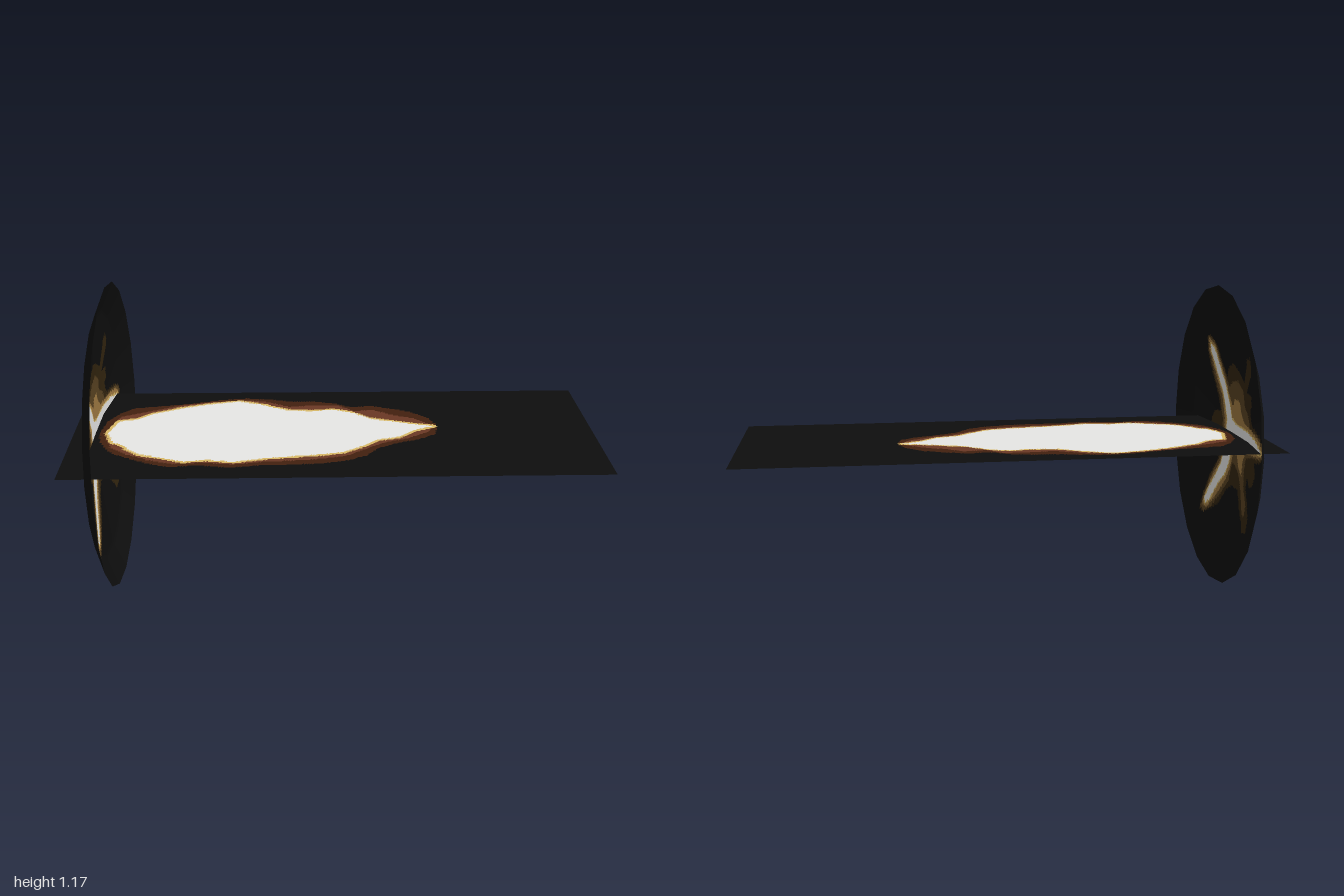
import * as THREE from 'three';

const mat = (name, color) => Object.assign(new THREE.MeshStandardMaterial({ color, side: THREE.DoubleSide }), { name });
const charcoal = mat('charcoal black', 0x0e0e0e);
const umber = mat('dark umber', 0x33250f);
const brown = mat('olive brown', 0x5a4322);
const tan = mat('tan', 0xa07a42);
const scorched = mat('scorched brown', 0x42200f);
const rust = mat('rust', 0x6a3824);
const gold = mat('pale gold', 0xd8b866);
const white = mat('hot white', 0xeeeeec);

// Flame outlines on the sheet, as x, z pairs
const flameOuter = [-.84, -.21, -.8, -.255, -.67, -.28, -.56, -.305, -.45, -.34, -.35, -.355, -.26, -.34, -.16, -.315,
  -.08, -.315, 0, -.295, .08, -.25, .16, -.26, .24, -.23, .32, -.19, .38, -.12, .405, -.05, .39, .03, .32, .08,
  .24, .11, .16, .16, .11, .23, .03, .27, -.05, .29, -.16, .3, -.26, .3, -.39, .32, -.5, .3, -.61, .31,
  -.69, .28, -.77, .23, -.84, .18, -.89, .08, -.9, 0, -.89, -.12];
const flameMiddle = [-.84, -.17, -.75, -.21, -.62, -.28, -.5, -.315, -.38, -.335, -.28, -.32, -.17, -.26, -.08, -.27,
  .02, -.27, .09, -.21, .16, -.22, .23, -.17, .31, -.13, .37, -.08, .4, -.05, .36, .01, .28, .07, .2, .1,
  .13, .15, .05, .22, -.05, .25, -.16, .265, -.26, .27, -.38, .295, -.5, .275, -.6, .285, -.69, .25,
  -.77, .2, -.84, .14, -.885, 0];
const flameCore = [-.84, -.12, -.77, -.14, -.72, -.19, -.61, -.25, -.5, -.29, -.38, -.32, -.3, -.29, -.18, -.22,
  -.08, -.21, 0, -.225, .08, -.19, .14, -.13, .22, -.1, .32, -.065, .39, -.05, .32, -.015, .24, .055, .16, .08,
  .11, .13, .03, .19, -.05, .21, -.16, .225, -.26, .24, -.38, .27, -.48, .25, -.56, .265, -.64, .23,
  -.72, .2, -.77, .16, -.8, .11, -.84, .085, -.87, 0];

// Star burst outlines on the dish, as z, y pairs
const starHaze = [.285, .94, .25, .95, .175, .916, .12, .847, .076, .8, .05, .84, -.01, .863, -.09, .84, -.15, .81,
  -.19, .863, -.205, .9, -.245, .915, -.267, .885, -.255, .84, -.215, .81, -.18, .77, -.245, .775, -.26, .73,
  -.23, .707, -.255, .66, -.385, .642, -.455, .615, -.46, .58, -.415, .55, -.32, .53, -.34, .49, -.315, .442,
  -.265, .424, -.22, .455, -.215, .41, -.26, .365, -.29, .31, -.28, .255, -.23, .24, -.2, .28, -.15, .324,
  -.105, .38, -.01, .374, .035, .35, .115, .27, .207, .224, .28, .196, .31, .215, .3, .26, .24, .365,
  .165, .45, .21, .48, .255, .53, .265, .59, .23, .64, .16, .65, .2, .72, .25, .8, .285, .87];
const starGlow = [.28, .947, .2, .93, .13, .847, .058, .76, .014, .79, -.06, .8, -.13, .763, -.142, .713, -.19, .69,
  -.23, .642, -.354, .64, -.43, .623, -.46, .585, -.42, .56, -.275, .542, -.18, .52, -.16, .467, -.19, .395,
  -.24, .35, -.235, .3, -.205, .305, -.16, .365, -.09, .442, -.042, .467, -.01, .467, .02, .395, .1, .318,
  .19, .24, .27, .2, .3, .215, .295, .255, .23, .365, .16, .45, .13, .53, .13, .62, .145, .645,
  .175, .707, .23, .79, .28, .88];
const starEdge = [.27, .935, .2, .915, .145, .847, .067, .74, .005, .69, -.015, .723, -.08, .723, -.11, .675,
  -.15, .645, -.32, .635, -.4, .623, -.44, .585, -.4, .567, -.26, .548, -.165, .535, -.14, .49, -.13, .44,
  -.09, .467, -.065, .51, -.015, .505, .015, .44, .08, .365, .16, .287, .24, .224, .28, .224, .28, .262,
  .207, .374, .145, .44, .107, .535, .107, .63, .145, .707, .213, .8, .27, .885];
const starCore = [.25, .91, .21, .9, .17, .845, .12, .785, .08, .73, .045, .69, .015, .64, -.04, .625, -.2, .62,
  -.32, .613, -.42, .585, -.32, .573, -.2, .555, -.04, .54, .01, .515, .035, .46, .08, .405, .145, .35,
  .21, .27, .26, .237, .27, .26, .23, .32, .175, .38, .13, .44, .1, .505, .075, .55, .08, .585,
  .075, .63, .107, .69, .16, .763, .21, .83, .25, .885];

// True when (a, b) lies in the outline, or within `grow` of its edge
function covers(outline, grow, a, b) {
  let inside = false;
  const n = outline.length;
  for (let i = 0, j = n - 2; i < n; j = i, i += 2) {
    const x1 = outline[j], y1 = outline[j + 1], dx = outline[i] - x1, dy = outline[i + 1] - y1;
    if ((y1 > b) !== (y1 + dy > b) && a < x1 + dx * (b - y1) / dy) inside = !inside;
    if (grow) {
      const t = THREE.MathUtils.clamp(((a - x1) * dx + (b - y1) * dy) / (dx * dx + dy * dy), 0, 1);
      if (Math.hypot(x1 + dx * t - a, y1 + dy * t - b) < grow) return true;
    }
  }
  return inside;
}

// Sorts the faces of a grid into one material group per layer; later layers win
function paintedMesh(name, geo, axisA, axisB, layers) {
  const src = geo.index.array, pos = geo.attributes.position.array;
  const buckets = [[], ...layers.map(() => [])];
  for (let f = 0; f < src.length; f += 3) {
    const tri = [src[f], src[f + 1], src[f + 2]];
    const mid = axis => tri.reduce((sum, v) => sum + pos[v * 3 + axis], 0) / 3;
    const a = mid(axisA), b = mid(axisB);
    let k = layers.length;
    while (k > 0 && !covers(layers[k - 1][1], layers[k - 1][2] || 0, a, b)) k--;
    buckets[k].push(...tri);
  }
  geo.clearGroups();
  let start = 0;
  buckets.forEach((b, i) => { geo.addGroup(start, b.length, i); start += b.length; });
  geo.setIndex(buckets.flat());
  const mesh = new THREE.Mesh(geo, [charcoal, ...layers.map(l => l[0])]);
  mesh.name = name;
  return mesh;
}

// Flat, very slightly tilted sheet along x
function sheetGeometry() {
  const geo = new THREE.PlaneGeometry(2, 0.83, 200, 83).rotateX(-Math.PI / 2);
  const p = geo.attributes.position;
  for (let i = 0; i < p.count; i++) {
    p.setY(i, 0.582 - 0.005 * p.getX(i));
    p.setZ(i, p.getZ(i) - 0.005);
  }
  geo.computeVertexNormals();
  return geo;
}

// Shallow twenty-sided dish, hollow towards +x
function dishGeometry() {
  const sides = 20, sub = 9, radius = 0.583;
  const profile = [[0, -.917], [.2, -.915], [.475, -.885], [radius, -.84]];
  const geo = new THREE.PlaneGeometry(1, 1, sides * sub, 56);
  const p = geo.attributes.position, uv = geo.attributes.uv;
  for (let i = 0; i < p.count; i++) {
    const s = uv.getX(i) * sides, r = uv.getY(i) * radius;
    const k = Math.floor(s + 1e-4), t = s - k;
    const a0 = k * 2 * Math.PI / sides, a1 = (k + 1) * 2 * Math.PI / sides;
    const j = Math.max(1, profile.findIndex(q => q[0] >= r - 1e-6));
    const [r0, x0] = profile[j - 1], [r1, x1] = profile[j];
    p.setXYZ(i, x0 + (x1 - x0) * (r - r0) / (r1 - r0),
      radius + r * THREE.MathUtils.lerp(Math.cos(a0), Math.cos(a1), t),
      r * THREE.MathUtils.lerp(Math.sin(a0), Math.sin(a1), t));
  }
  geo.computeVertexNormals();
  return geo;
}

export function createModel() {
  const group = new THREE.Group();
  group.name = 'flash';
  group.add(paintedMesh('flameSheet', sheetGeometry(), 0, 2, [
    [scorched, flameOuter], [rust, flameMiddle], [gold, flameCore, 0.014], [white, flameCore]]));
  group.add(paintedMesh('starDish', dishGeometry(), 2, 1, [
    [umber, starHaze], [brown, starGlow], [tan, starEdge], [gold, starCore, 0.007], [white, starCore]]));
  return group;
}
